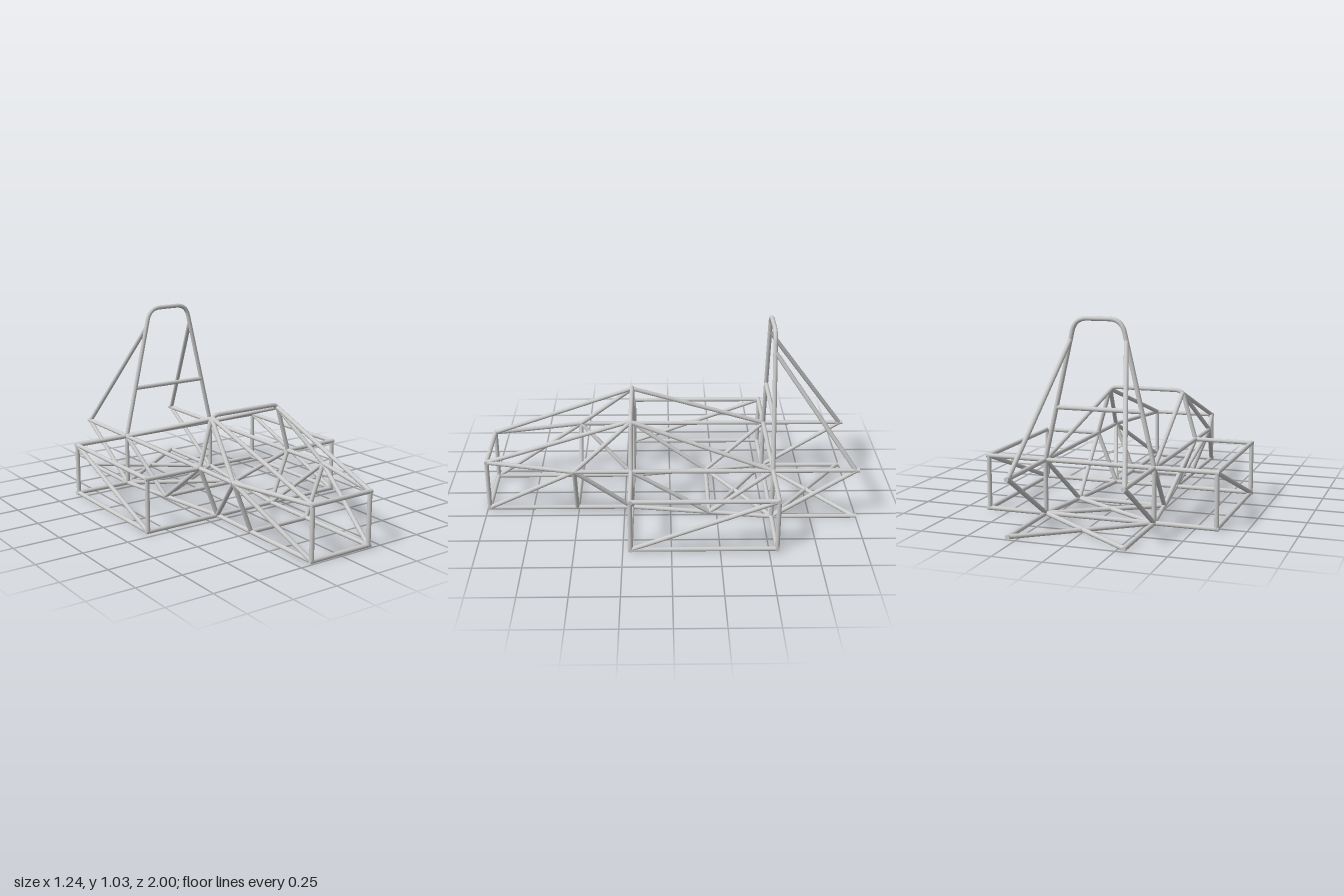
import * as THREE from 'three';

const R = 0.0118;               // tube radius
const LOW = 0.012, TOP = 0.291; // heights of lower and upper rails
const NOSE = 0.988, PEDAL = 0.51, DASH = 0.21, SEAT = -0.21, MAIN = -0.542, TAIL = -1;
const material = new THREE.MeshStandardMaterial({ color: 0xcccccc });
const V = (x, y, z) => new THREE.Vector3(x, y, z);

// Straight tube between two points
function tube(parent, name, a, b) {
  const p = V(...a), d = V(...b).sub(p);
  const mesh = new THREE.Mesh(new THREE.CylinderGeometry(R, R, d.length(), 16), material);
  mesh.position.copy(p).addScaledVector(d, 0.5);
  mesh.quaternion.setFromUnitVectors(V(0, 1, 0), d.normalize());
  mesh.name = name;
  parent.add(mesh);
}

// The same tube on both sides
function pair(parent, name, a, b) {
  tube(parent, name + 'Left', a, b);
  tube(parent, name + 'Right', [-a[0], a[1], a[2]], [-b[0], b[1], b[2]]);
}

// Tube across the car
function cross(parent, name, x, y, z) {
  tube(parent, name, [-x, y, z], [x, y, z]);
}

// Bent hoop in the plane z: half profile of [x, y, bend length], mirrored
function hoop(parent, name, half, z) {
  const pts = [...half, ...half.slice().reverse().map(([x, y, b]) => [-x, y, b])];
  const path = new THREE.CurvePath();
  let last = V(pts[0][0], pts[0][1], z);
  for (let i = 1; i < pts.length; i++) {
    const p = V(pts[i][0], pts[i][1], z);
    if (i === pts.length - 1) {
      path.add(new THREE.LineCurve3(last, p));
      break;
    }
    const before = V(pts[i - 1][0], pts[i - 1][1], z).sub(p).setLength(pts[i][2]).add(p);
    const after = V(pts[i + 1][0], pts[i + 1][1], z).sub(p).setLength(pts[i][2]).add(p);
    path.add(new THREE.LineCurve3(last, before));
    path.add(new THREE.QuadraticBezierCurve3(before, p, after));
    last = after;
  }
  const mesh = new THREE.Mesh(new THREE.TubeGeometry(path, 160, R, 16), material);
  mesh.name = name;
  parent.add(mesh);
}

export function createModel() {
  const model = new THREE.Group();
  model.name = 'spaceFrameChassis';
  const section = (name) => {
    const g = new THREE.Group();
    g.name = name;
    model.add(g);
    return g;
  };

  // Nose box and pedal bay
  const nose = section('noseFrame');
  cross(nose, 'noseUpperBar', 0.18 + R, TOP, NOSE);
  cross(nose, 'noseLowerBar', 0.18 + R, LOW, NOSE);
  pair(nose, 'nosePost', [0.18, LOW, NOSE], [0.18, TOP, NOSE]);
  pair(nose, 'noseUpperRail', [0.18, TOP, NOSE], [0.29, TOP, PEDAL]);
  pair(nose, 'noseDiagonal', [0.18, LOW, NOSE], [0.29, TOP, PEDAL]);
  cross(nose, 'pedalFloorBar', 0.18, LOW, PEDAL);
  pair(nose, 'pedalPost', [0.18, LOW, PEDAL], [0.29, TOP, PEDAL]);
  pair(nose, 'pedalDiagonal', [0.29, TOP, PEDAL], [0.18, LOW, DASH]);

  // Long rails
  const rails = section('rails');
  pair(rails, 'upperRail', [0.29, TOP, PEDAL], [0.29, TOP, TAIL]);
  pair(rails, 'frontLowerRail', [0.18, LOW, NOSE], [0.18, LOW, DASH]);
  pair(rails, 'cockpitLowerRail', [0.18, LOW, DASH], [0.24, LOW, SEAT]);
  pair(rails, 'seatLowerRail', [0.24, LOW, SEAT], [0.29, LOW, MAIN]);
  pair(rails, 'tailLowerRail', [0.29, LOW, MAIN], [0.29, LOW, TAIL]);

  // Cockpit floor and side diagonals
  const cockpit = section('cockpitFrame');
  cross(cockpit, 'seatFloorBar', 0.24, LOW, SEAT);
  pair(cockpit, 'cockpitFrontDiagonal', [0.29, TOP, DASH], [0.24, LOW, SEAT]);
  pair(cockpit, 'cockpitRearDiagonal', [0.29, TOP, MAIN], [0.24, LOW, SEAT]);
  pair(cockpit, 'seatFloorBrace', [0.24, LOW, SEAT], [-0.29, LOW, MAIN]);

  // Front roll hoop with its braces
  const front = section('frontRollHoop');
  hoop(front, 'frontHoop', [[0.18, LOW], [0.29, TOP, 0.015], [0.212, 0.562, 0.04]], DASH);
  pair(front, 'frontHoopNoseBrace', [0.21, 0.548, DASH], [0.18, TOP, NOSE]);
  pair(front, 'frontHoopPedalBrace', [0.213, 0.545, DASH], [0.29, TOP, PEDAL]);
  pair(front, 'frontHoopRearBrace', [0.213, 0.545, DASH], [0.29, TOP, MAIN]);

  // Main roll hoop with harness bar and rear braces
  const main = section('mainRollHoop');
  hoop(main, 'mainHoop', [[0.29, 0], [0.29, TOP, 0.02], [0.122, 1.016, 0.065]], MAIN);
  cross(main, 'harnessBar', 0.226, 0.566, MAIN);
  pair(main, 'mainHoopBrace', [0.146, 0.91, MAIN], [0.29, TOP, -0.98]);

  // Side pods; their crossbars run through the cockpit where it is closed
  const pods = section('sidePods');
  const X = 0.608;
  pair(pods, 'podFrontUpperBar', [0.29, TOP, DASH], [X + R, TOP, DASH]);
  cross(pods, 'podFrontLowerBar', X + R, LOW, DASH);
  cross(pods, 'podRearUpperBar', X + R, TOP, MAIN);
  cross(pods, 'podRearLowerBar', X + R, LOW, MAIN);
  for (const y of [LOW, TOP])
    pair(pods, y === LOW ? 'podLowerRail' : 'podUpperRail', [X, y, DASH], [X, y, MAIN]);
  for (const z of [DASH, MAIN])
    pair(pods, z === DASH ? 'podFrontPost' : 'podRearPost', [X, LOW, z], [X, TOP, z]);
  pair(pods, 'podDiagonal', [X, LOW, DASH], [X, TOP, MAIN]);

  // Engine bay
  const tail = section('tailFrame');
  pair(tail, 'tailDiagonal', [0.29, LOW, MAIN], [0.29, TOP, -0.985]);
  pair(tail, 'tailFloorBrace', [0.29, LOW, MAIN], [-0.29, LOW, -0.985]);

  return model;
}
